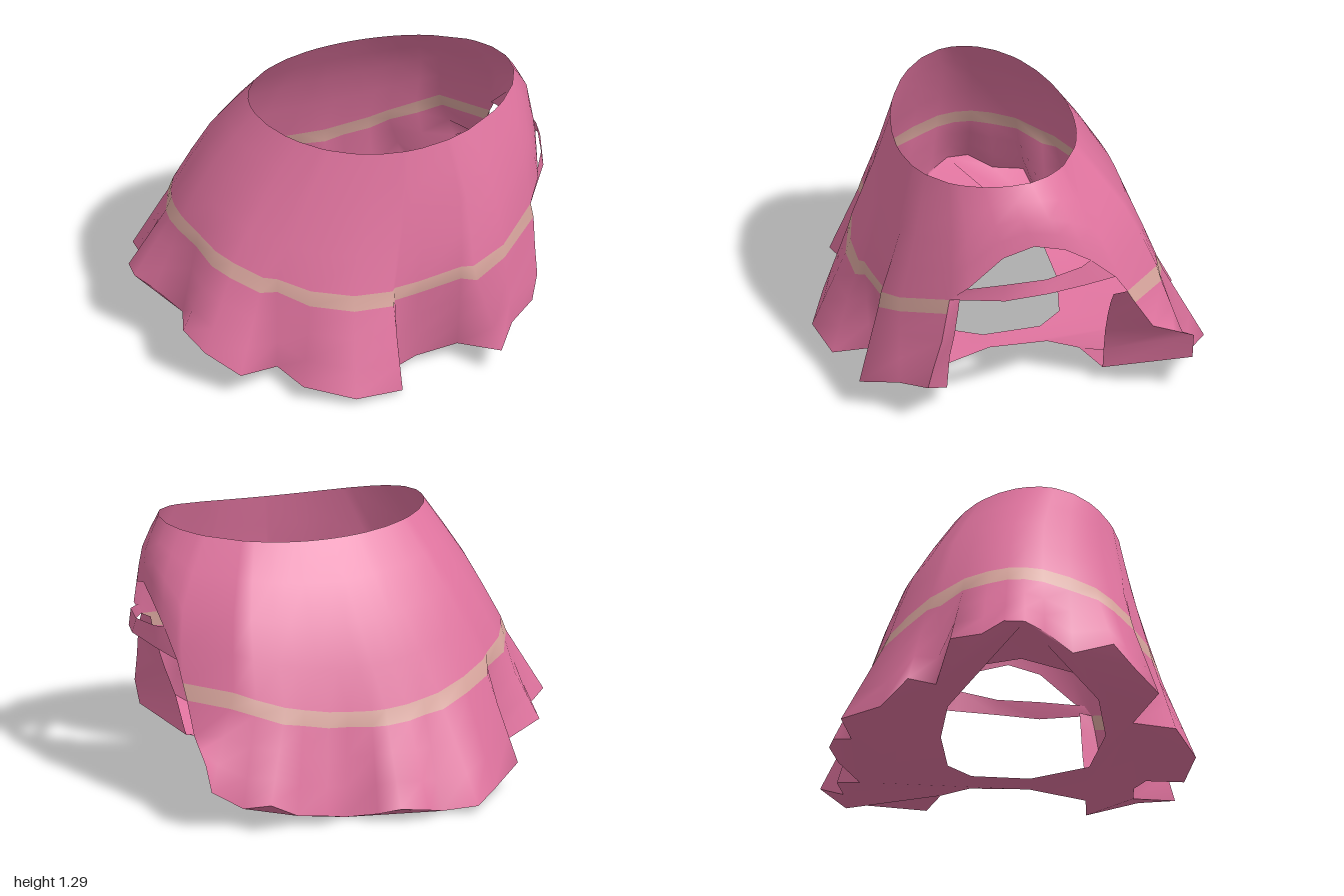
import * as THREE from 'three';

const V = (x, y, z) => new THREE.Vector3(x, y, z);

// Point on a superellipse with separate extents on each side
function ring(angle, [x0, x1, z0, z1, n]) {
  const cx = (x0 + x1) / 2, cz = (z0 + z1) / 2;
  const c = Math.cos(angle), s = Math.sin(angle);
  const power = c > 0 ? n : 2.05;
  const r = Math.pow(
    Math.pow(Math.abs(c) / ((x1 - x0) / 2), power) +
    Math.pow(Math.abs(s) / ((z1 - z0) / 2), power), -1 / power);
  return [cx + r * c, cz + r * s];
}

const WAIST = [-0.46, 0.83, -0.31, 0.54, 2];
const MIDDLE = [-0.64, 0.94, -0.53, 0.61, 2.6];
const BAND = [-0.8, 0.94, -0.67, 0.69, 3.4];
const FLARE = [-0.94, 0.92, -0.82, 0.76, 3];

// Pleated hem outline [x, y, z], from the front of the side opening round to its back
const HEM = [
  [0.81, 0.21, 0.54], [0.68, 0.18, 0.65], [0.58, 0.15, 0.82], [0.42, 0.08, 0.61],
  [0.22, 0.04, 0.6], [0.11, 0.03, 0.65], [0.09, 0.02, 0.83], [-0.15, 0.04, 0.87],
  [-0.38, 0.08, 0.76], [-0.45, 0.07, 0.55], [-0.66, 0.13, 0.66], [-0.8, 0.2, 0.53],
  [-0.88, 0.28, 0.43], [-0.83, 0.25, 0.24], [-0.93, 0.31, 0.1], [-1, 0.33, 0],
  [-1, 0.33, -0.1], [-0.91, 0.3, -0.2], [-0.91, 0.27, -0.35], [-0.65, 0.15, -0.4],
  [-0.75, 0.13, -0.54], [-0.6, 0.05, -0.66], [-0.47, 0.04, -0.84], [-0.31, 0.01, -0.78],
  [-0.22, 0.05, -0.86], [-0.08, 0.07, -0.87], [0.02, 0.04, -0.82], [0.15, 0, -0.71],
  [0.27, 0.05, -0.81], [0.4, 0.05, -0.77], [0.56, 0.15, -0.87], [0.66, 0.1, -0.74],
  [0.82, 0.2, -0.75],
];

// Front and back edges of the side opening, from the top of the trim down
const FRONT_EDGE = [[0.83, 0.7, 0.44], [0.84, 0.63, 0.455], [0.84, 0.48, 0.48], [0.84, 0.34, 0.52], HEM[0]];
const BACK_EDGE = [[0.87, 0.645, -0.42], [0.86, 0.57, -0.46], [0.85, 0.42, -0.55], [0.85, 0.38, -0.65], [0.85, 0.34, -0.75]];

// Arched top edge of the side opening, back to front
const ARCH = [
  [0.88, 0.74, -0.36], [0.91, 0.87, -0.23], [0.93, 0.96, -0.1], [0.93, 1.0, 0.05],
  [0.92, 0.95, 0.2], [0.89, 0.79, 0.36],
];

const points = (list) => list.map((p) => V(...p));

function waistPoint(angle) {
  const [x, z] = ring(angle, WAIST);
  const t = (z - 0.115) / 0.43;
  return V(x, 1.29 - (t > 0 ? 0.1 : 0.03) * t * t, z);
}

// Smooth curve from the waist through the middle to the lower point
function upperRows(top, mid, low) {
  return new THREE.CatmullRomCurve3([top, mid, low]).getPoints(4);
}

function pleatColumn([hx, hy, hz]) {
  const angle = Math.atan2(hz, hx - 0.1);
  const top = waistPoint(angle);
  const [bx, bz] = ring(angle, BAND);
  const [fx, fz] = ring(angle, FLARE);
  const hem = V(hx, hy, hz);
  const bandY = 0.47 + 0.31 * bx * bx;
  const pull = hz > 0 ? 0.13 : 0.06;
  const low = V(bx + pull * (hx - fx), bandY + 0.036, bz + pull * (hz - fz));
  const [mx, mz] = ring(angle, MIDDLE);
  const mid = V(mx, THREE.MathUtils.lerp(top.y, low.y, 0.47), mz);
  const under = low.clone().lerp(hem, 0.13);
  under.y = bandY - 0.038;
  return [...upperRows(top, mid, low), under,
    under.clone().lerp(hem, 0.33), under.clone().lerp(hem, 0.67), hem];
}

// Column beside or above the opening, ending in the given edge points
function edgeColumn([[x, y, z], ...rest]) {
  const low = V(x, y, z);
  const top = waistPoint(Math.atan2(z, x - 0.1));
  const mid = top.clone().lerp(low, 0.5);
  mid.x += 0.09 * (top.y - y);
  return [...upperRows(top, mid, low), ...points(rest)];
}

// Surface between neighbouring columns; one row can take a second material
function loft(columns, closed, accentRow = -1) {
  const pos = [], starts = [], main = [], accent = [];
  for (const col of columns) {
    starts.push(pos.length / 3);
    col.forEach((p) => pos.push(p.x, p.y, p.z));
  }
  const count = columns.length;
  for (let i = 0; i < (closed ? count : count - 1); i++) {
    const j = (i + 1) % count;
    const rows = Math.min(columns[i].length, columns[j].length) - 1;
    for (let r = 0; r < rows; r++) {
      const a = starts[i] + r, b = starts[j] + r;
      (r === accentRow ? accent : main).push(a, b, b + 1, a, b + 1, a + 1);
    }
  }
  const geo = new THREE.BufferGeometry();
  geo.setAttribute('position', new THREE.Float32BufferAttribute(pos, 3));
  geo.setIndex([...main, ...accent]);
  geo.addGroup(0, main.length, 0);
  geo.addGroup(main.length, accent.length, 1);
  geo.computeVertexNormals();
  return geo;
}

// Uneven sheet filling an outline, with one hole
function sheet(outline, hole) {
  const flat = (list) => list.map(([x, , z]) => new THREE.Vector2(x, -z));
  const faces = THREE.ShapeUtils.triangulateShape(flat(outline), [flat(hole)]);
  const geo = new THREE.BufferGeometry().setFromPoints(points([...outline, ...hole]));
  geo.setIndex(faces.flat());
  geo.computeVertexNormals();
  return geo;
}

export function createModel() {
  const group = new THREE.Group();
  const make = (name, color) => {
    const m = new THREE.MeshStandardMaterial({ color, side: THREE.DoubleSide });
    m.name = name;
    return m;
  };
  const pink = make('pink cloth', 0xdf739e);
  const trim = make('beige trim', 0xd8a59d);
  const add = (name, geo, mat = pink) => {
    const mesh = new THREE.Mesh(geo, mat);
    mesh.name = name;
    group.add(mesh);
  };

  // Flared skirt with trim band and arched side opening
  const columns = [
    edgeColumn(FRONT_EDGE),
    ...HEM.slice(1).map(pleatColumn),
    edgeColumn(BACK_EDGE),
    ...ARCH.map((p) => edgeColumn([p])),
  ];
  add('skirt', loft(columns, true, 4), [pink, trim]);

  // Turned-in cloth on both sides of the opening
  const frontInner = [[0.8, 0.7, 0.38], [0.78, 0.6, 0.385], [0.73, 0.44, 0.39], [0.67, 0.28, 0.4], [0.62, 0.08, 0.4]];
  add('frontOpeningWall', loft([points(frontInner), points(FRONT_EDGE)], false));
  const backInner = [
    [0.84, 0.62, -0.36], [0.78, 0.54, -0.36], [0.7, 0.42, -0.365],
    [0.63, 0.29, -0.37], [0.62, 0.18, -0.365], [0.62, 0.08, -0.36],
  ];
  add('backOpeningWall', loft([points([...BACK_EDGE, HEM[HEM.length - 1]]), points(backInner)], false));

  // Strap bowed across the opening
  const strapTop = [[0.85, 0.76, 0.41], [0.95, 0.82, 0.2], [0.98, 0.84, 0], [0.94, 0.86, -0.18], [0.9, 0.87, -0.24]];
  const strapLow = [[0.83, 0.70, 0.44], [0.96, 0.735, 0.2], [1.0, 0.77, 0], [0.94, 0.755, -0.2], [0.86, 0.73, -0.37]];
  add('strap', loft(strapTop.map((p, i) => points([strapLow[i], p])), false));

  // Bottom panel with a leg hole on one side and a leg notch on the other
  const notch = [
    [0.62, 0.08, -0.36], [0.36, 0.04, -0.31], [0.25, 0.03, -0.18],
    [0.24, 0.03, 0.1], [0.37, 0.04, 0.38], [0.62, 0.08, 0.4],
  ];
  const legHole = [
    [0.12, 0.03, 0.1], [-0.03, 0.03, 0.37], [-0.3, 0.07, 0.43], [-0.55, 0.14, 0.38],
    [-0.69, 0.21, 0.26], [-0.74, 0.255, 0], [-0.67, 0.25, -0.18], [-0.45, 0.13, -0.33],
    [-0.25, 0.06, -0.35], [0, 0.03, -0.3], [0.11, 0.03, -0.18],
  ];
  add('bottomPanel', sheet([...HEM, ...notch], legHole));

  return group;
}
